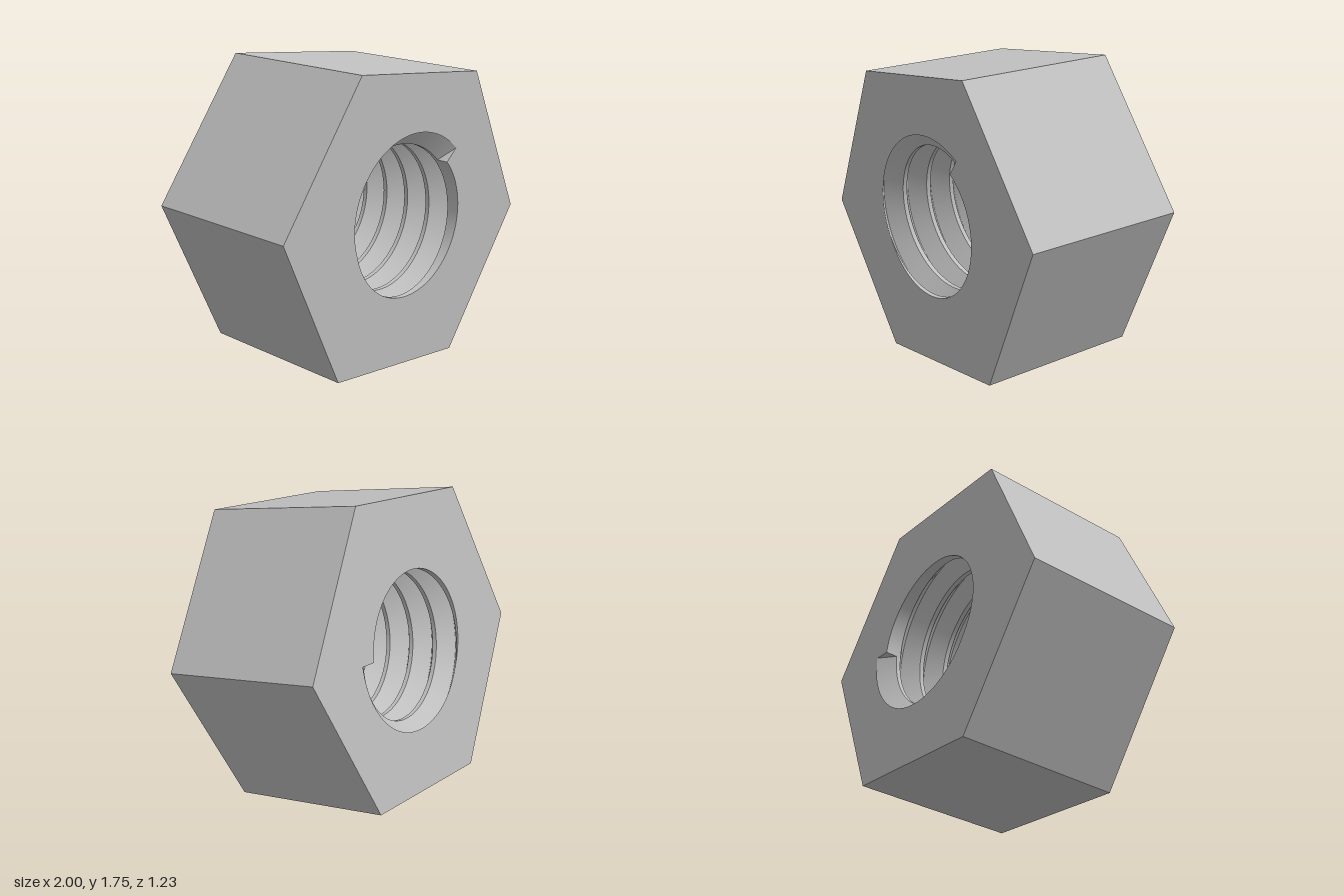
import * as THREE from 'three';
import { mergeGeometries } from 'three/addons/utils/BufferGeometryUtils.js';

const HEX_R = 0.955, LENGTH = 0.97;
const ROOT_R = 0.53, CREST_R = 0.427;
const START = 48, END = 360;                       // thread start and end angles, degrees
const PITCH = LENGTH / (6 - START / 360);
const FLANK = 0.42 * PITCH;                        // axial half width of the V groove

// Point in the nut's own frame from angle (degrees), radius and depth behind the front face
function polar(deg, r, depth) {
  const a = THREE.MathUtils.degToRad(deg);
  return [r * Math.cos(a), r * Math.sin(a), LENGTH / 2 - depth];
}

// Profile of the bore at one angle: [radius, depth] points for a number of V grooves
function profile(deg, grooves) {
  const points = [];
  for (let n = 0; n < grooves; n++) {
    const c = PITCH * ((deg - START) / 360 + n);
    for (const d of [c - FLANK, c, c + FLANK]) {
      const depth = THREE.MathUtils.clamp(d, 0, LENGTH);
      const t = Math.min(1, Math.abs(depth - c) / FLANK);
      points.push([THREE.MathUtils.lerp(ROOT_R, CREST_R, t), depth]);
    }
  }
  return [[points[0][0], 0], ...points, [points[points.length - 1][0], LENGTH]];
}

function indexed(positions, index) {
  const g = new THREE.BufferGeometry();
  g.setAttribute('position', new THREE.Float32BufferAttribute(positions, 3));
  g.setIndex(index);
  g.computeVertexNormals();
  return g;
}

// Smooth helical strips between neighbouring profile points, with sharp edges between strips
function threadStrips(columns) {
  const strips = [];
  for (let j = 0; j + 1 < columns[0].points.length; j++) {
    const positions = [], index = [];
    columns.forEach(({ deg, points }, i) => {
      positions.push(...polar(deg, ...points[j]), ...polar(deg, ...points[j + 1]));
      if (i + 1 < columns.length) {
        const a = 2 * i;
        index.push(a, a + 2, a + 1, a + 2, a + 3, a + 1);
      }
    });
    strips.push(indexed(positions, index));
  }
  return strips;
}

function sector(from, to, grooves) {
  const columns = [], steps = Math.round((to - from) / 2);
  for (let i = 0; i <= steps; i++) {
    const deg = from + (to - from) * i / steps;
    columns.push({ deg, points: profile(deg, grooves) });
  }
  return columns;
}

// Hexagonal end face pierced by the bore outline
function endFace(columns, back) {
  const flip = back ? -1 : 1;
  const corners = [], rim = [];
  for (let i = 0; i < 6; i++) {
    const [x, y] = polar(i * 60, HEX_R, 0);
    corners.push(new THREE.Vector2(x * flip, y));
  }
  for (const { deg, points } of columns) {
    const [x, y] = polar(deg, points[back ? points.length - 1 : 0][0], 0);
    const p = new THREE.Vector2(x * flip, y);
    if (!rim.length || rim[rim.length - 1].distanceTo(p) > 1e-5) rim.push(p);
  }
  if (rim[0].distanceTo(rim[rim.length - 1]) < 1e-5) rim.pop();
  const shape = new THREE.Shape(corners);
  shape.holes.push(new THREE.Path(rim));
  const g = new THREE.ShapeGeometry(shape);
  g.translate(0, 0, LENGTH / 2);
  if (back) g.rotateY(Math.PI);
  return g;
}

export function createModel() {
  const steel = new THREE.MeshStandardMaterial({ color: 0xc0c0c0 });
  steel.name = 'plain steel';
  const nut = new THREE.Group();
  nut.name = 'hexNut';
  const add = (name, geometry) => {
    const mesh = new THREE.Mesh(geometry, steel);
    mesh.name = name;
    nut.add(mesh);
  };

  // Six flat outer sides
  const sides = new THREE.CylinderGeometry(HEX_R, HEX_R, LENGTH, 6, 1, true, Math.PI / 6)
    .rotateX(Math.PI / 2).toNonIndexed();
  sides.computeVertexNormals();
  add('hexSides', sides);

  // Threaded bore: six grooves up to the run-out, five after it
  const main = sector(START, END, 6), rest = sector(END, START + 360, 5);
  // Blunt ends of the groove at the two faces
  const startCap = indexed([
    ...polar(START, CREST_R, FLANK), ...polar(START, CREST_R, 0), ...polar(START, ROOT_R, 0),
  ], [0, 1, 2]);
  const endCap = indexed([
    ...polar(END, CREST_R, LENGTH), ...polar(END, ROOT_R, LENGTH), ...polar(END, CREST_R, LENGTH - FLANK),
  ], [0, 1, 2]);
  add('threadedBore', mergeGeometries([...threadStrips(main), ...threadStrips(rest), startCap, endCap]));

  // End faces
  const outline = [...main, ...rest];
  add('frontFace', endFace(outline, false));
  add('backFace', endFace(outline, true));

  // Slight tilt of the whole nut
  const z = new THREE.Vector3(-0.1, -0.1, 0.96).normalize();
  const y = new THREE.Vector3().crossVectors(z, new THREE.Vector3(0.95, 0, 0.0975)).normalize();
  const x = new THREE.Vector3().crossVectors(y, z);
  nut.quaternion.setFromRotationMatrix(new THREE.Matrix4().makeBasis(x, y, z));
  nut.position.y = 0.875;

  const model = new THREE.Group();
  model.name = 'model';
  model.add(nut);
  return model;
}
